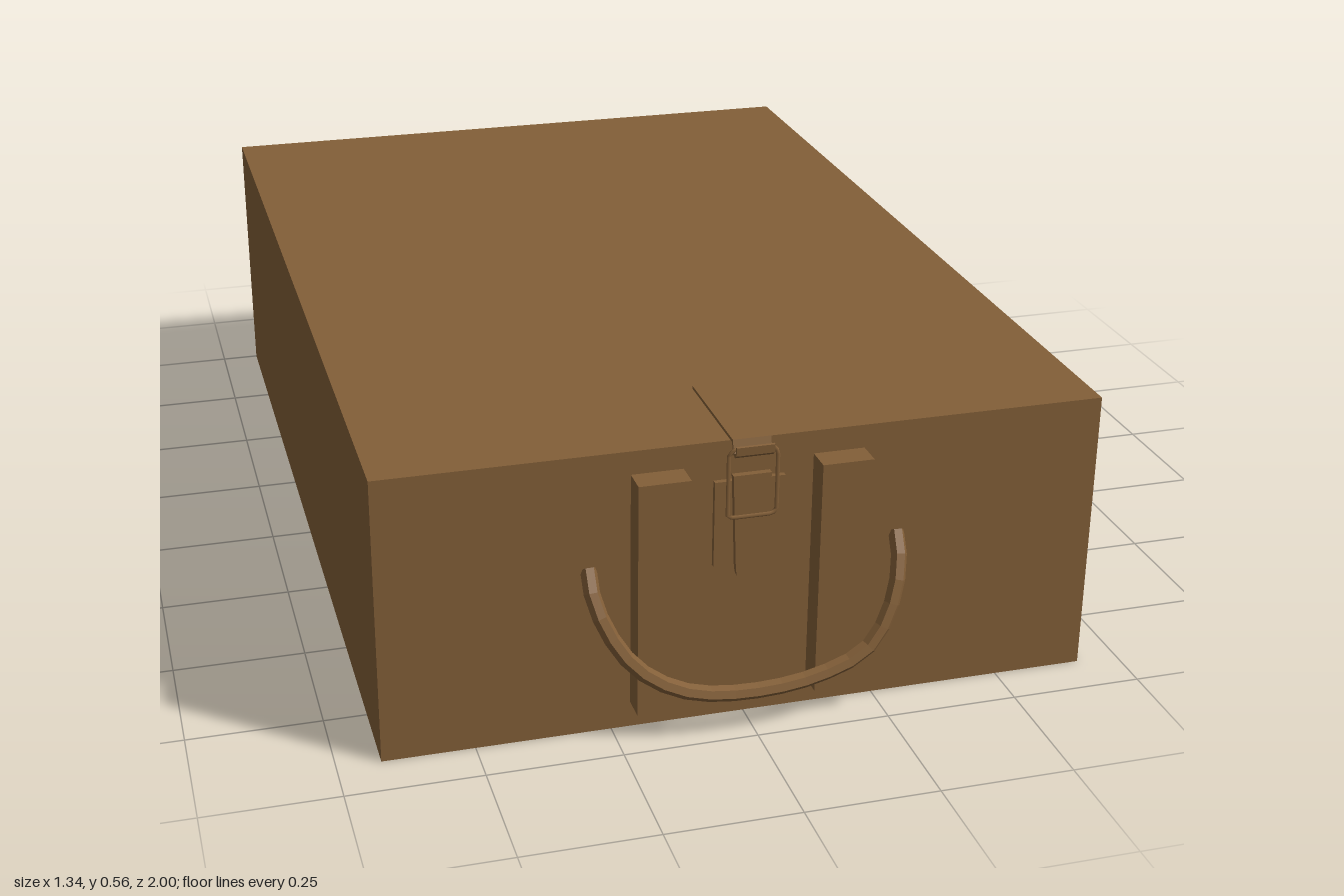
import * as THREE from 'three';

export function createModel() {
  const model = new THREE.Group();
  model.name = 'drawerBox';
  const brown = new THREE.MeshStandardMaterial({ color: 0x835f38 });
  brown.name = 'brown';

  const add = (name, geometry, x = 0, y = 0, z = 0, parent = model) => {
    const mesh = new THREE.Mesh(geometry, brown);
    mesh.name = name;
    mesh.position.set(x, y, z);
    parent.add(mesh);
    return mesh;
  };
  const box = (w, h, d) => new THREE.BoxGeometry(w, h, d);
  const path = (points) =>
    new THREE.CatmullRomCurve3(points.map((p) => new THREE.Vector3(...p)));

  // Main body
  add('body', box(1.34, 0.55, 1.91), 0, 0.275, -0.045);

  // Two upright battens on the front
  for (const side of [-1, 1]) {
    add(side > 0 ? 'leftBatten' : 'rightBatten', box(0.095, 0.455, 0.05), side * 0.167, 0.278, 0.935);
  }

  // Drooping pull handle, four-sided and faceted
  const handlePath = path([
    [-0.29, 0.33, 0.905], [-0.288, 0.28, 0.94], [-0.25, 0.195, 0.967],
    [-0.2, 0.14, 0.977], [-0.125, 0.1, 0.983], [-0.02, 0.085, 0.985],
    [0.11, 0.096, 0.983], [0.21, 0.135, 0.977], [0.255, 0.2, 0.965],
    [0.28, 0.28, 0.94], [0.285, 0.33, 0.905],
  ]);
  const handle = new THREE.TubeGeometry(handlePath, 20, 0.015, 6, false).toNonIndexed();
  handle.computeVertexNormals();
  add('handle', handle);

  // Latch: back plate, tapered tongue, wire loop and top strap
  const latch = new THREE.Group();
  latch.name = 'latch';
  model.add(latch);
  add('latchPlate', box(0.13, 0.165, 0.01), 0, 0.393, 0.915, latch);

  const tongue = new THREE.Shape();
  tongue.moveTo(-0.035, 0.49);
  tongue.lineTo(-0.027, 0.305);
  tongue.quadraticCurveTo(-0.025, 0.278, 0, 0.278);
  tongue.quadraticCurveTo(0.025, 0.278, 0.027, 0.305);
  tongue.lineTo(0.035, 0.49);
  tongue.closePath();
  add('latchTongue', new THREE.ExtrudeGeometry(tongue, { depth: 0.012, bevelEnabled: false, curveSegments: 4 }),
    0, 0, 0.92, latch);

  const loopPath = new THREE.CurvePath();
  const corners = [[-0.045, 0.415], [-0.045, 0.53], [-0.036, 0.541], [0.036, 0.541],
    [0.045, 0.53], [0.045, 0.415], [0.036, 0.41], [-0.036, 0.41]]
    .map(([x, y]) => new THREE.Vector3(x, y, 0.932));
  corners.forEach((p, i) => loopPath.add(new THREE.LineCurve3(p, corners[(i + 1) % corners.length])));
  add('latchLoop', new THREE.TubeGeometry(loopPath, 48, 0.004, 5, true), 0, 0, 0, latch);

  // Strap lies on the top and curls under the loop; profile drawn along z and y
  const strap = new THREE.Shape();
  [[0.68, 0.55], [0.68, 0.556], [0.922, 0.556], [0.928, 0.538], [0.934, 0.534],
    [0.94, 0.538], [0.942, 0.551], [0.946, 0.55], [0.945, 0.534], [0.936, 0.527],
    [0.926, 0.53], [0.917, 0.55]]
    .forEach(([z, y], i) => (i ? strap.lineTo(z, y) : strap.moveTo(z, y)));
  const strapGeometry = new THREE.ExtrudeGeometry(strap, { depth: 0.07, bevelEnabled: false });
  strapGeometry.translate(0, 0, -0.035).rotateY(-Math.PI / 2);
  add('topStrap', strapGeometry, 0, 0, 0, latch);

  return model;
}
